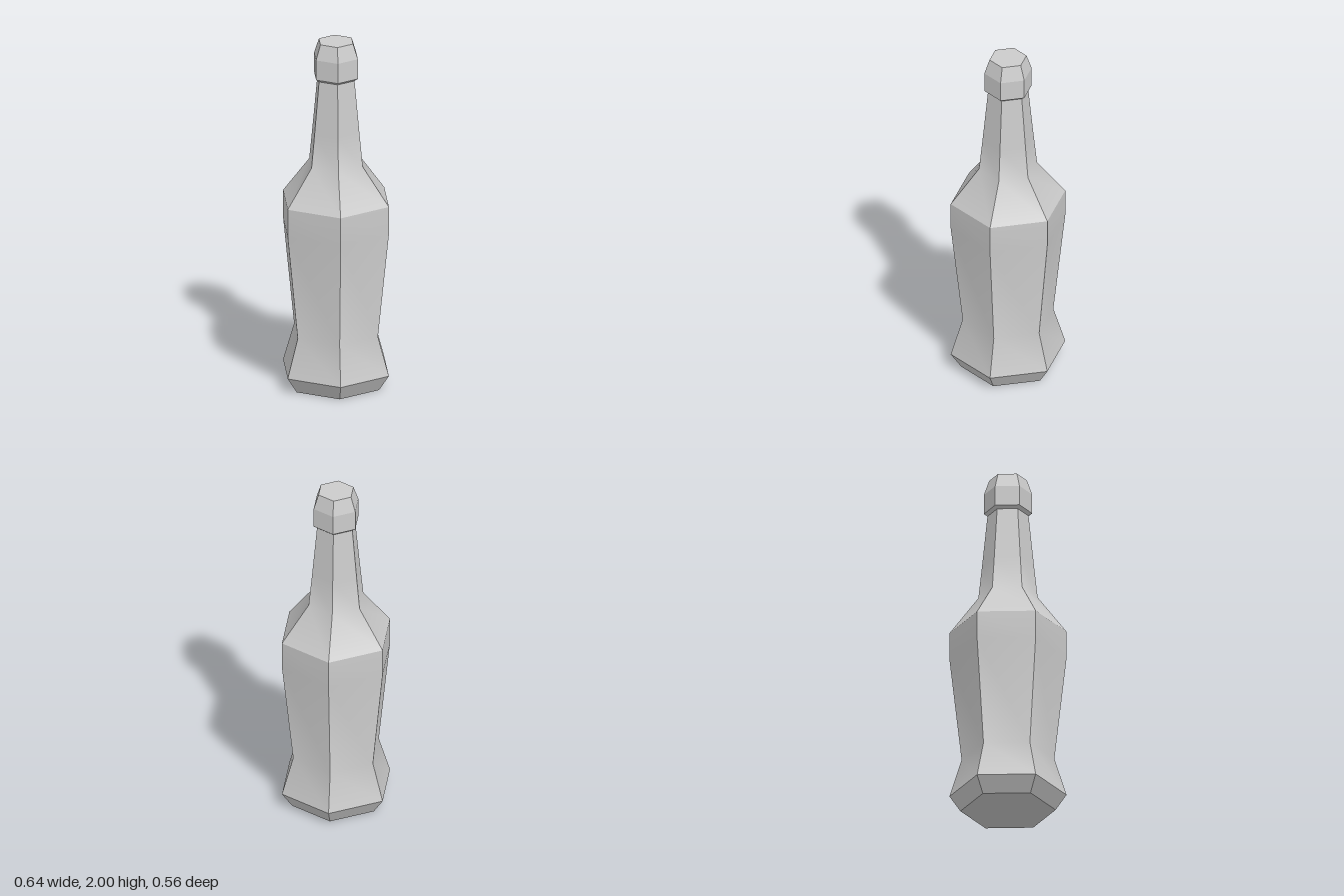
import * as THREE from 'three';
import { toCreasedNormals } from 'three/addons/utils/BufferGeometryUtils.js';

const SIDES = 6;
const CREASE = 0.7; // keeps the facet edges sharp, softens bends within a band

// Each band is a hexagonal lathe with corners on the x axis; points are [radius, y].
const BANDS = {
  base: [[0, 0], [0.262, 0]],
  foot: [[0.262, 0], [0.322, 0.09]],
  body: [[0.322, 0.09], [0.255, 0.31], [0.322, 0.92], [0.322, 1.08]],
  shoulder: [[0.322, 1.08], [0.163, 1.29], [0.143, 1.48]],
  neck: [[0.143, 1.48], [0.113, 1.785]],
  capUnderside: [[0.113, 1.785], [0.133, 1.8]],
  capSide: [[0.133, 1.8], [0.133, 1.915]],
  capBevel: [[0.133, 1.915], [0.104, 2]],
  capTop: [[0.104, 2], [0, 2]],
};

export function createModel() {
  const bottle = new THREE.Group();
  bottle.name = 'bottle';
  const material = new THREE.MeshStandardMaterial({ color: 0xcccccc });

  for (const [name, profile] of Object.entries(BANDS)) {
    const points = profile.map(([r, y]) => new THREE.Vector2(r, y));
    const lathe = new THREE.LatheGeometry(points, SIDES, Math.PI / 2);
    const mesh = new THREE.Mesh(toCreasedNormals(lathe, CREASE), material);
    mesh.name = name;
    bottle.add(mesh);
  }
  return bottle;
}
